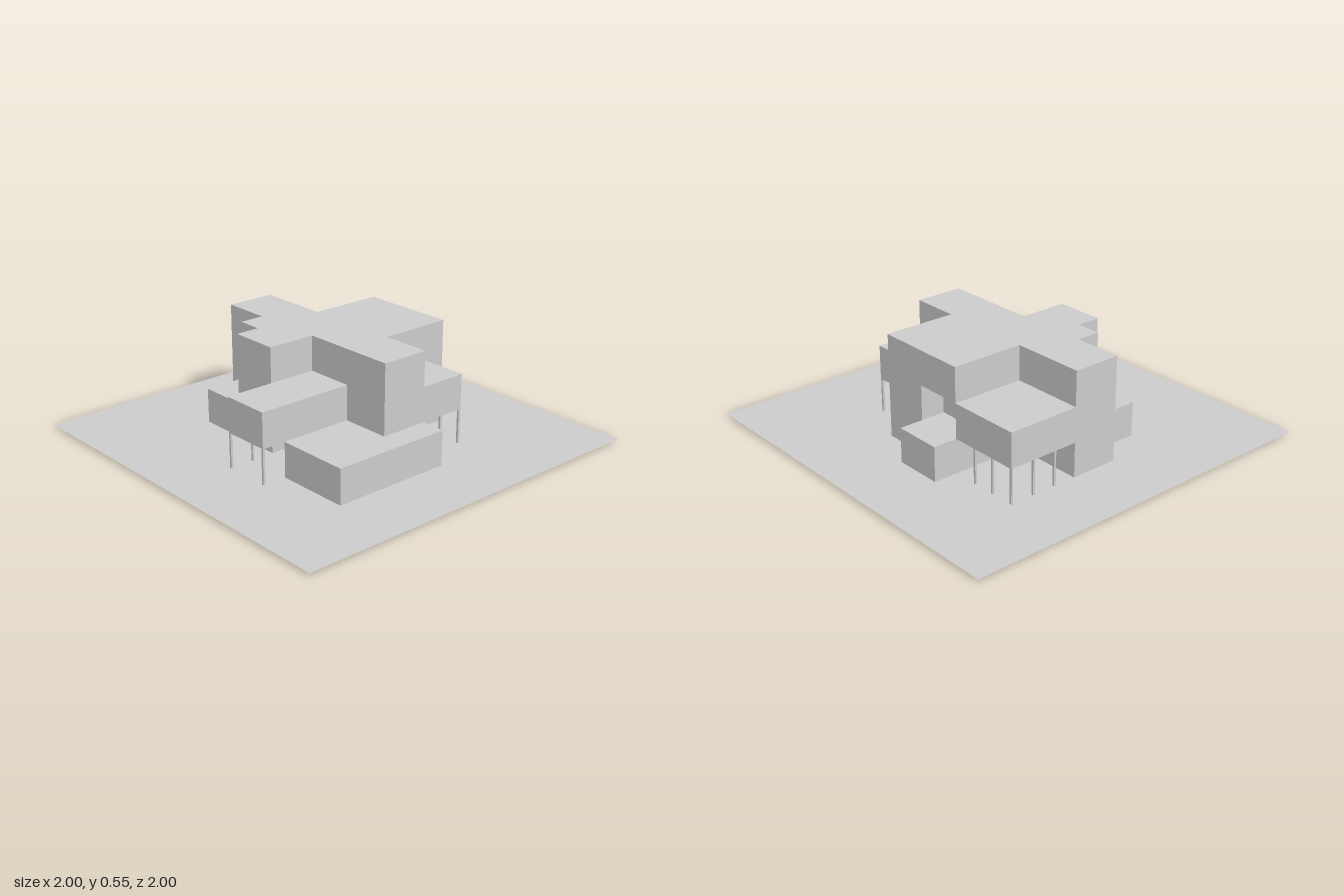
import * as THREE from 'three';

const GROUND = 0.012, FLOOR1 = 0.192, FLOOR2 = 0.372, ROOF = 0.552;

export function createModel() {
  const model = new THREE.Group();
  const material = new THREE.MeshStandardMaterial({ color: 0xcccccc, flatShading: true });

  const add = (name, geometry, mat = material) => {
    const mesh = new THREE.Mesh(geometry, mat);
    mesh.name = name;
    model.add(mesh);
    return mesh;
  };

  // Storey: a footprint of [x, z] corners raised from y0 to y1
  const storey = (name, footprint, y0, y1) => {
    const shape = new THREE.Shape(footprint.map(([x, z]) => new THREE.Vector2(x, -z)));
    const geometry = new THREE.ExtrudeGeometry(shape, { depth: y1 - y0, bevelEnabled: false });
    geometry.rotateX(-Math.PI / 2).translate(0, y0, 0);
    add(name, geometry);
  };

  // Post: a slim square column
  const post = (name, x, z, y0, y1) =>
    add(name, new THREE.BoxGeometry(0.011, y1 - y0, 0.011)).position.set(x, (y0 + y1) / 2, z);

  // Site: a thin lawn sheet on a smaller foundation slab
  const slab = add('foundationSlab', new THREE.BoxGeometry(1.59, GROUND - 0.001, 1.59));
  slab.position.y = (GROUND - 0.001) / 2;
  const sheetMaterial = material.clone();
  sheetMaterial.side = THREE.DoubleSide;
  add('groundSheet', new THREE.PlaneGeometry(2, 2).rotateX(-Math.PI / 2), sheetMaterial).position.y = GROUND;

  // Ground floor: core with low front, side and back wings
  storey('groundFloor', [
    [-0.13, -0.64], [0.125, -0.64], [0.125, -0.255], [0.637, -0.255], [0.637, 0], [0.51, 0],
    [0.51, 0.253], [0.125, 0.253], [0.125, 0.637], [-0.513, 0.637], [-0.513, 0.253], [-0.13, 0.253],
    [-0.13, 0], [-0.385, 0], [-0.385, -0.513], [-0.13, -0.513],
  ], GROUND, FLOOR1);

  // Middle floor: cantilevered rooms on three sides and a recessed terrace
  storey('middleFloor', [
    [-0.13, -0.64], [0.51, -0.64], [0.51, -0.255], [0.38, -0.255], [0.38, 0], [0.51, 0],
    [0.51, 0.253], [0.38, 0.253], [0.38, 0.51], [-0.13, 0.51], [-0.13, 0.253], [-0.64, 0.253],
    [-0.64, 0], [-0.385, 0], [-0.385, -0.255], [-0.13, -0.255],
  ], FLOOR1, FLOOR2);

  // Top floor: cross plan with a small hanging corner room
  storey('topFloor', [
    [-0.13, -0.64], [0.125, -0.64], [0.125, -0.255], [0.51, -0.255], [0.51, 0.253], [0.125, 0.253],
    [0.125, 0.51], [-0.13, 0.51], [-0.13, 0], [-0.385, 0], [-0.385, -0.255], [-0.258, -0.255],
    [-0.258, -0.385], [-0.13, -0.385],
  ], FLOOR2, ROOF);

  // Posts under the overhanging rooms
  const posts = {
    frontRoomPost: [[0.374, 0.504], [0.246, 0.504], [0.374, 0.385]],
    backRoomPost: [[0.504, -0.634], [0.504, -0.507], [0.504, -0.385], [0.374, -0.634], [0.246, -0.634]],
    sideRoomPost: [[-0.634, 0.006], [-0.634, 0.247], [-0.507, 0.006]],
  };
  for (const [name, spots] of Object.entries(posts))
    for (const [x, z] of spots) post(name, x, z, GROUND, FLOOR1);
  post('cornerRoomPost', -0.252, -0.379, FLOOR1, FLOOR2);

  return model;
}
